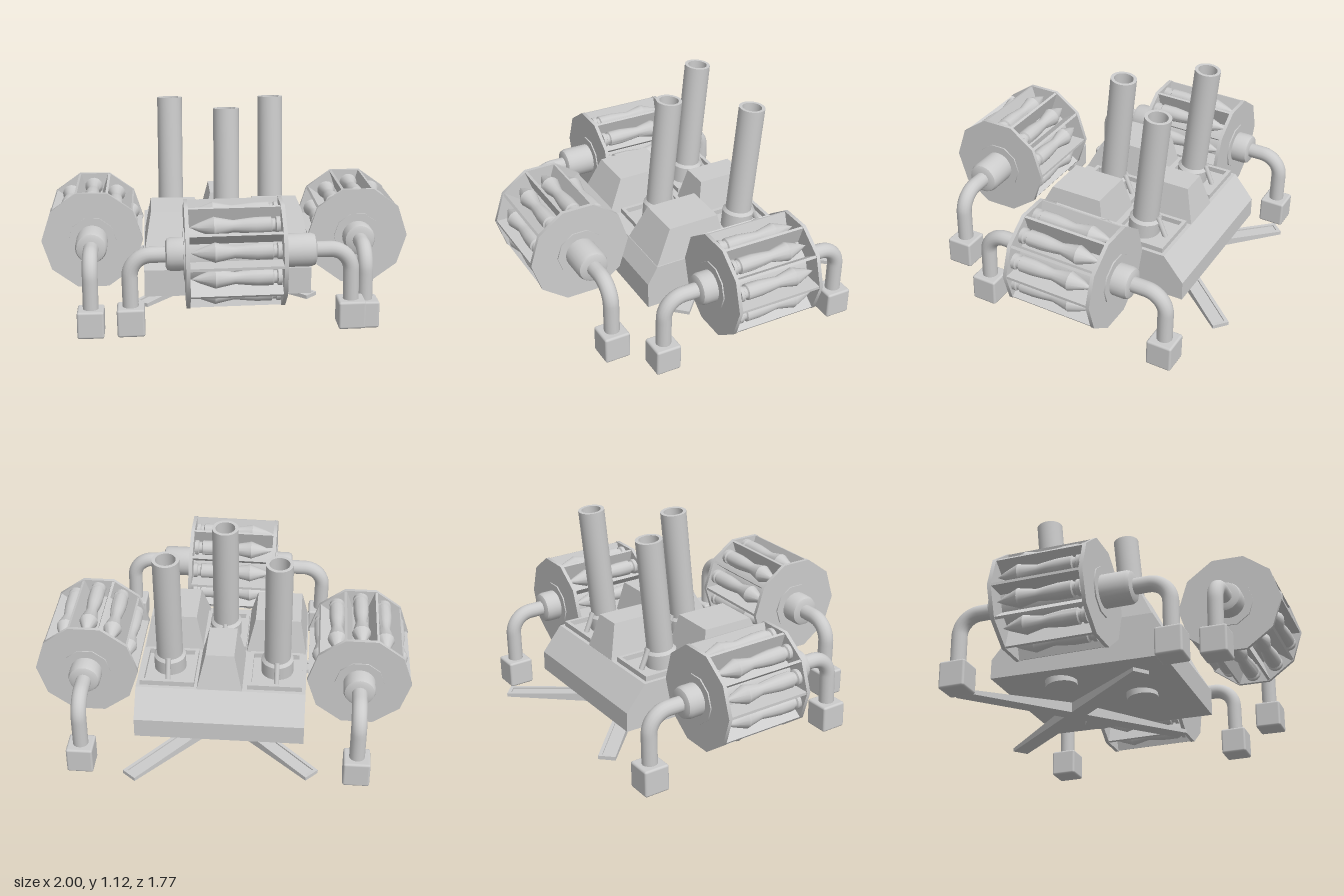
import * as THREE from 'three';
import { toCreasedNormals } from 'three/addons/utils/BufferGeometryUtils.js';
import { RoundedBoxGeometry } from 'three/addons/geometries/RoundedBoxGeometry.js';

const grey = new THREE.MeshStandardMaterial({ color: 0xcccccc });
const doubleGrey = new THREE.MeshStandardMaterial({ color: 0xcccccc, side: THREE.DoubleSide });

function add(parent, name, geometry, x = 0, y = 0, z = 0, material = grey) {
  const mesh = new THREE.Mesh(geometry, material);
  mesh.name = name;
  mesh.position.set(x, y, z);
  parent.add(mesh);
  return mesh;
}

function group(parent, name) {
  const g = new THREE.Group();
  g.name = name;
  parent.add(g);
  return g;
}

// Turned part about the y axis, with sharp edges kept
function lathe(points, segments = 24) {
  const profile = points.map(([r, y]) => new THREE.Vector2(r, y));
  return toCreasedNormals(new THREE.LatheGeometry(profile, segments), 0.6);
}

// Side profile in (z, y), extruded across x and centred
function sideProfile(points, width) {
  const shape = new THREE.Shape(points.map(([z, y]) => new THREE.Vector2(z, y)));
  const g = new THREE.ExtrudeGeometry(shape, { depth: width, bevelEnabled: false });
  return g.translate(0, 0, -width / 2).rotateY(-Math.PI / 2);
}

// Block whose top rectangle is smaller than its base: each rectangle is [x0, x1, z0, z1]
function taperedBlock(base, top, y0, y1) {
  const g = new THREE.BoxGeometry(1, 1, 1).toNonIndexed();
  const p = g.attributes.position;
  for (let i = 0; i < p.count; i++) {
    const r = p.getY(i) > 0 ? top : base;
    p.setXYZ(i, p.getX(i) < 0 ? r[0] : r[1], p.getY(i) > 0 ? y1 : y0, p.getZ(i) < 0 ? r[2] : r[3]);
  }
  g.computeVertexNormals();
  return g;
}

// Ten-sided disc across the x axis
function decagon(radius, width) {
  return new THREE.CylinderGeometry(radius, radius, width, 10).toNonIndexed().rotateZ(Math.PI / 2);
}

// Rotating magazine along x, with hubs, bent legs and feet
function magazine(parent, name, position, turn, legs) {
  const outer = group(parent, name);
  outer.position.set(...position);
  outer.rotation.y = turn;
  const drum = group(outer, 'drumAssembly');
  drum.rotation.z = 0.016;

  const R = 0.275, half = 0.248;
  add(drum, 'drumCore', decagon(0.165, 2 * half - 0.02));
  const shell = lathe([[0, -0.225], [0.022, -0.18], [0.05, -0.105], [0.046, -0.09], [0.03, -0.01],
    [0.036, 0.04], [0.042, 0.1], [0.042, 0.175], [0.033, 0.18], [0.033, 0.195], [0.042, 0.2],
    [0.042, 0.22], [0, 0.22]], 14).rotateZ(-Math.PI / 2);
  for (let i = 0; i < 10; i++) {
    const slot = group(drum, 'magazineSlot');
    slot.rotation.x = i * Math.PI / 5;
    add(slot, 'dividerBar', new THREE.BoxGeometry(2 * half, 0.014, 0.115), 0, 0, R - 0.062);
    const a = Math.PI / 10;
    add(slot, 'shell', shell, 0, 0.215 * Math.sin(a), 0.215 * Math.cos(a));
  }

  for (const { side, hub, reach } of legs) {
    add(drum, 'endPlate', decagon(R, 0.02), side * (half - 0.01));
    add(drum, 'endBoss', decagon(0.13, 0.01), side * (half + 0.002));
    const hubShape = lathe([[0.085, half - 0.01], [0.085, hub - 0.025], [0.078, hub - 0.007],
      [0.062, hub], [0, hub]]);
    add(drum, 'hub', hubShape.rotateZ(-side * Math.PI / 2));

    const bend = 0.11, k = bend * 0.45, drop = 0.34;
    const path = new THREE.CurvePath();
    const v = (x, y) => new THREE.Vector3(side * x, y, 0);
    path.add(new THREE.LineCurve3(v(hub - 0.02, 0), v(reach - bend, 0)));
    path.add(new THREE.CubicBezierCurve3(v(reach - bend, 0), v(reach - k, 0), v(reach, -k), v(reach, -bend)));
    path.add(new THREE.LineCurve3(v(reach, -bend), v(reach, -drop + 0.04)));
    add(drum, 'bentLeg', new THREE.TubeGeometry(path, 28, 0.041, 16));
    add(drum, 'foot', new RoundedBoxGeometry(0.14, 0.145, 0.14, 2, 0.012), side * reach, -drop);
  }
}

// Leaning hollow barrel with its lower sleeve
function barrel(parent, x, z) {
  const g = group(parent, 'launchTube');
  g.position.set(x, 0.67, z);
  g.rotation.x = -0.1;
  add(g, 'tube', lathe([[0, -0.3], [0.07, -0.3], [0.07, 0.45], [0.052, 0.45], [0.052, -0.1], [0, -0.1]]),
    0, 0, 0, doubleGrey);
  add(g, 'sleeve', lathe([[0, -0.53], [0.085, -0.53], [0.085, -0.17], [0.07, -0.155]]), 0, 0, 0, doubleGrey);
  const rod = add(g, 'braceRod', new THREE.CylinderGeometry(0.014, 0.014, 0.13, 10), 0, -0.2, -0.1);
  rod.rotation.x = 0.5;
}

// Low rim around a tube well
function wellRim(parent, x0, x1, z0, z1) {
  const g = group(parent, 'wellRim');
  const t = 0.02, h = 0.035, y = 0.425;
  for (const x of [x0 + t / 2, x1 - t / 2])
    add(g, 'rimSide', new THREE.BoxGeometry(t, h, z1 - z0), x, y, (z0 + z1) / 2);
  for (const z of [z0 + t / 2, z1 - t / 2])
    add(g, 'rimEnd', new THREE.BoxGeometry(x1 - x0 - 2 * t, h, t), (x0 + x1) / 2, y, z);
}

// Peaked ground beam with a recessed top between two rails
function crossBeam(parent, angle, length) {
  const g = group(parent, 'groundBeam');
  g.position.set(-0.01, 0.085, -0.335);
  g.rotation.y = angle;
  const h = length / 2;
  const profile = (lift) => [[-h, 0], [h, 0], [h, 0.012 + lift], [0, 0.05 + lift], [-h, 0.012 + lift]];
  add(g, 'beamWeb', sideProfile(profile(0), 0.06));
  for (const s of [-1, 1]) {
    add(g, 'beamRail', sideProfile(profile(0.008), 0.018), s * 0.036);
    add(g, 'beamEnd', new THREE.BoxGeometry(0.09, 0.02, 0.018), 0, 0.01, s * (h - 0.009));
  }
}

export function createModel() {
  const model = new THREE.Group();
  model.name = 'launcherPlatform';

  // Hull
  const hull = group(model, 'hull');
  add(hull, 'hullBody', sideProfile([[0.305, 0.175], [0.305, 0.32], [0.25, 0.415], [-0.53, 0.415],
    [-0.64, 0.28], [-0.64, 0.175]], 0.89));
  for (const s of [-1, 1]) {
    const span = (a, b) => (s > 0 ? [a, b] : [-b, -a]);
    add(hull, 'frontBlock', taperedBlock([...span(0.115, 0.44), -0.17, 0.25],
      [...span(0.16, 0.405), -0.13, 0.155], 0.41, 0.6));
    wellRim(hull, ...span(0.14, 0.425), -0.51, -0.2);
  }
  add(hull, 'rearBlock', taperedBlock([-0.115, 0.125, -0.53, -0.18], [-0.07, 0.08, -0.48, -0.22], 0.41, 0.6));
  wellRim(hull, -0.112, 0.122, -0.16, 0.18);

  // Launch tubes
  barrel(model, 0.01, -0.01);
  barrel(model, -0.29, -0.355);
  barrel(model, 0.283, -0.355);

  // Crossed beams on the ground
  crossBeam(model, Math.atan2(-0.9, 1.05), 1.4);
  crossBeam(model, Math.atan2(0.965, 0.91), 1.33);

  // Magazines
  const rear = { side: -1, hub: 0.345, reach: 0.528 };
  const long = { side: 1, hub: 0.415, reach: 0.595 };
  const short = { side: 1, hub: 0.34, reach: 0.522 };
  magazine(model, 'frontMagazine', [0.01, 0.51, 0.6], 0, [rear, long]);
  magazine(model, 'rightMagazine', [-0.725, 0.422, -0.16], -Math.PI / 2, [rear, long]);
  magazine(model, 'leftMagazine', [0.725, 0.422, -0.16], -Math.PI / 2, [rear, short]);

  return model;
}
